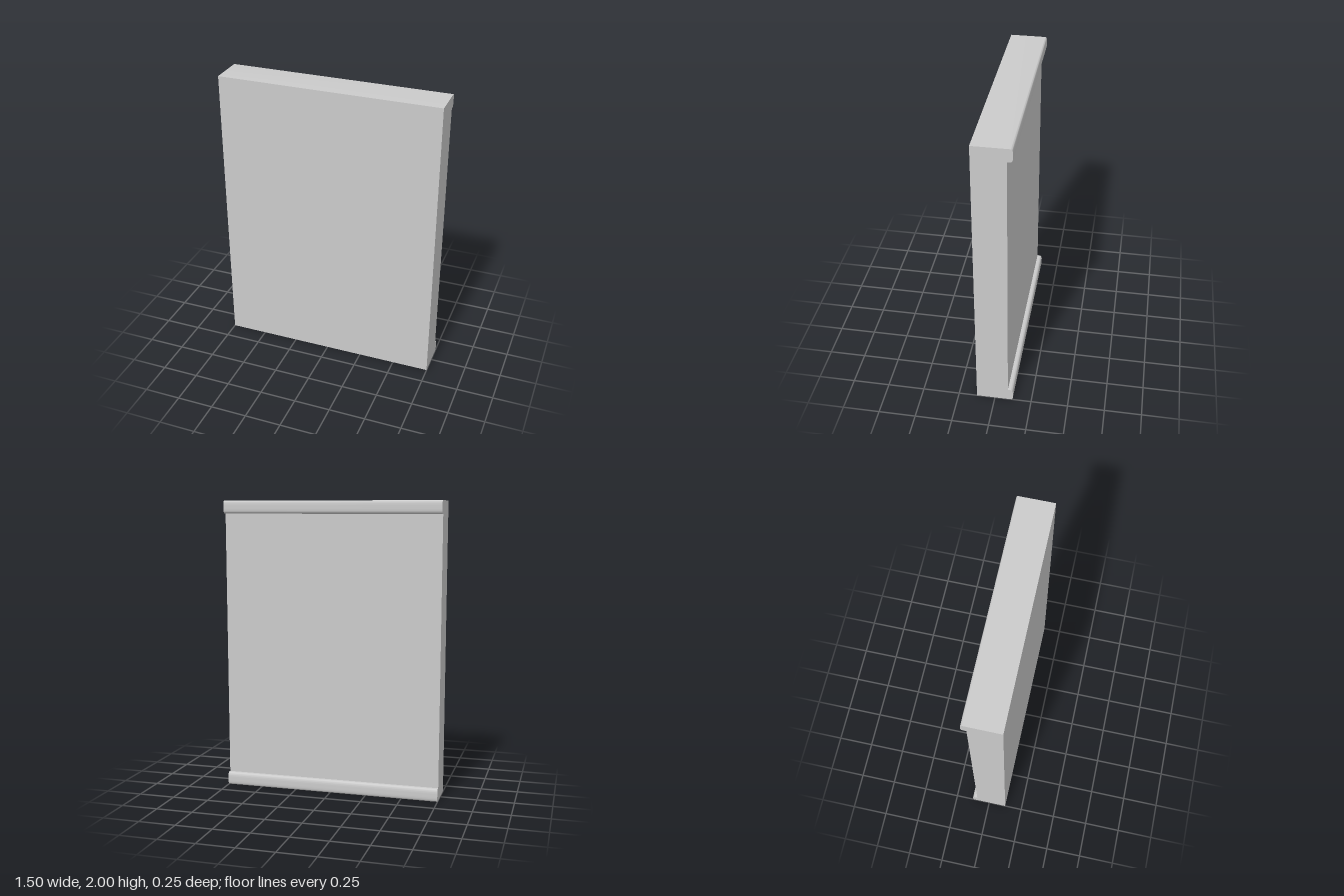
import * as THREE from 'three';
import { toCreasedNormals } from 'three/addons/utils/BufferGeometryUtils.js';

const WIDTH = 1.5, HEIGHT = 2;
const FRONT = -0.125, BACK = 0.09, LIP = 0.125; // profile depths, positive towards the back
const LIP_HEIGHT = 0.088, OUTER = 0.014, INNER = 0.02, ROUND = 0.032;

// Side profile: a flat slab with a rounded lip along the bottom and top of its back
function panelProfile() {
  const s = new THREE.Shape();
  s.moveTo(FRONT, 0);
  s.lineTo(LIP - OUTER, 0);
  s.quadraticCurveTo(LIP, 0, LIP, ROUND);
  s.lineTo(LIP, LIP_HEIGHT - ROUND);
  s.quadraticCurveTo(LIP, LIP_HEIGHT, LIP - INNER, LIP_HEIGHT);
  s.lineTo(BACK, LIP_HEIGHT);
  s.lineTo(BACK, HEIGHT - LIP_HEIGHT);
  s.lineTo(LIP - INNER, HEIGHT - LIP_HEIGHT);
  s.quadraticCurveTo(LIP, HEIGHT - LIP_HEIGHT, LIP, HEIGHT - LIP_HEIGHT + ROUND);
  s.lineTo(LIP, HEIGHT - ROUND);
  s.quadraticCurveTo(LIP, HEIGHT, LIP - OUTER, HEIGHT);
  s.lineTo(FRONT, HEIGHT);
  s.closePath();
  return s;
}

export function createModel() {
  const group = new THREE.Group();
  group.name = 'lippedPanel';

  // Sweep the profile across the width, then turn it so the lips face back
  const extruded = new THREE.ExtrudeGeometry(panelProfile(), {
    depth: WIDTH, bevelEnabled: false, curveSegments: 10,
  });
  extruded.translate(0, 0, -WIDTH / 2);
  extruded.rotateY(Math.PI / 2);

  const panel = new THREE.Mesh(
    toCreasedNormals(extruded, Math.PI / 5),
    new THREE.MeshStandardMaterial({ color: 0xcccccc }),
  );
  panel.name = 'panelWithBackLips';
  group.add(panel);
  return group;
}
